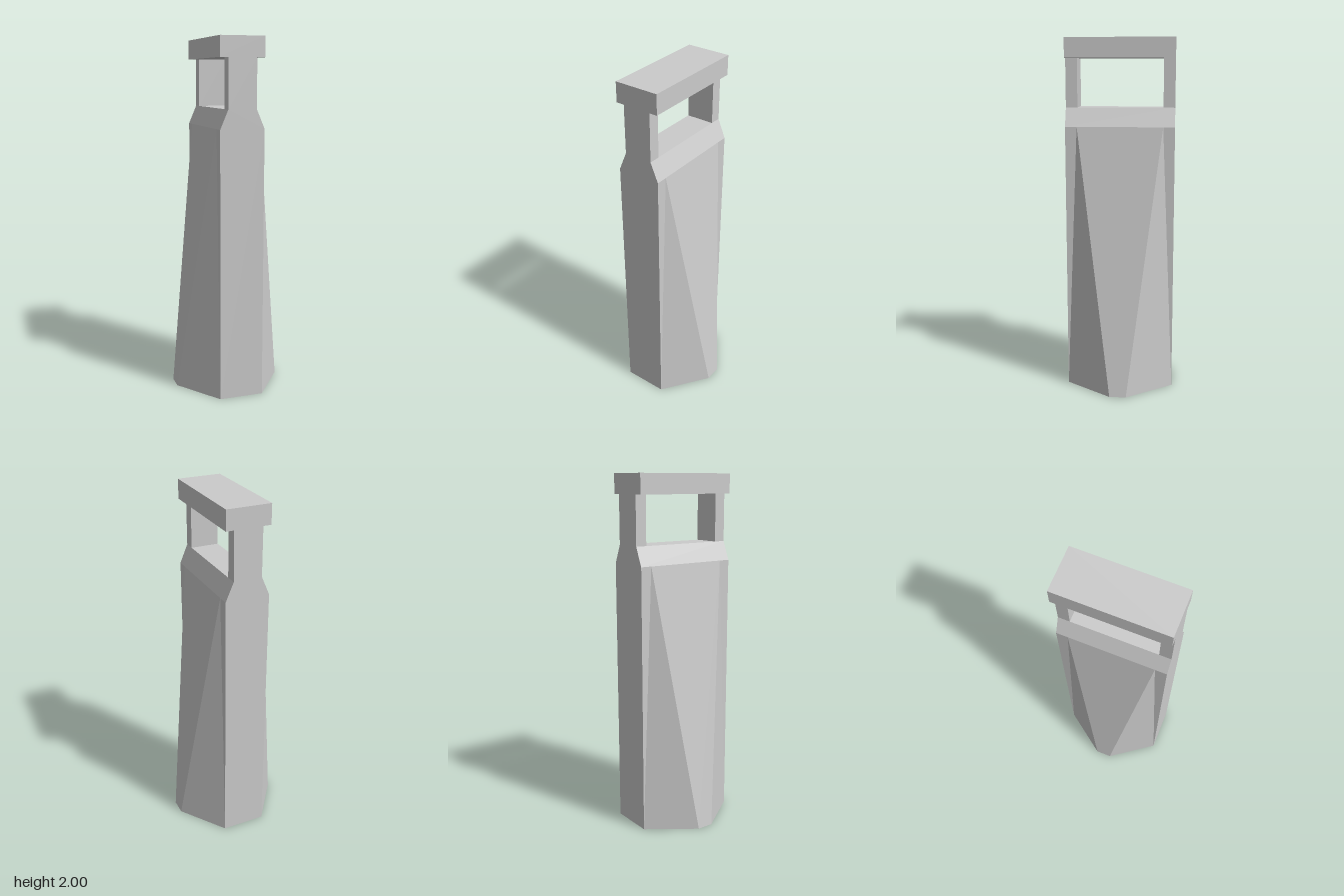
import * as THREE from 'three';

export function createModel() {
  const model = new THREE.Group();
  const material = new THREE.MeshStandardMaterial({ color: 0xcccccc, flatShading: true });
  const halfDepth = 0.305, halfWidth = 0.125, neck = 0.08, windowZ = 0.24;
  const shoulderY = 1.515, neckY = 1.62, capY = 1.89, topY = 2;

  function add(name, geometry, x = 0, y = 0, z = 0) {
    const mesh = new THREE.Mesh(geometry, material);
    mesh.name = name;
    mesh.position.set(x, y, z);
    model.add(mesh);
    return mesh;
  }

  // Central slab with bevelled shoulders, extruded front to back
  const profile = new THREE.Shape([
    [-halfWidth, 0], [halfWidth, 0], [halfWidth, shoulderY],
    [neck, neckY], [-neck, neckY], [-halfWidth, shoulderY],
  ].map(([x, y]) => new THREE.Vector2(x, y)));
  add('body', new THREE.ExtrudeGeometry(profile, { depth: 2 * halfDepth, bevelEnabled: false }), 0, 0, -halfDepth);

  // Tapering side flanks, wide at the foot and flush at the shoulder
  const a = [halfWidth, 0, halfDepth], b = [0.31, 0, 0.047], c = [0.31, 0, -0.047];
  const d = [halfWidth, 0, -halfDepth], e = [halfWidth, shoulderY, windowZ], f = [halfWidth, shoulderY, -windowZ];
  const faces = [a, b, e, b, c, f, b, f, e, c, d, f, a, d, c, a, c, b];
  const flank = new THREE.BufferGeometry();
  flank.setAttribute('position', new THREE.Float32BufferAttribute(faces.flat(), 3));
  flank.computeVertexNormals();
  add('leftFlank', flank);
  add('rightFlank', flank).rotation.y = Math.PI;

  // Handle: two posts and a wider top bar
  const post = new THREE.BoxGeometry(2 * neck, capY - neckY, halfDepth - windowZ);
  const postZ = (halfDepth + windowZ) / 2;
  add('frontPost', post, 0, (capY + neckY) / 2, postZ);
  add('backPost', post, 0, (capY + neckY) / 2, -postZ);
  add('topBar', new THREE.BoxGeometry(2 * halfWidth, topY - capY, 2 * halfDepth), 0, (topY + capY) / 2, 0);

  return model;
}
